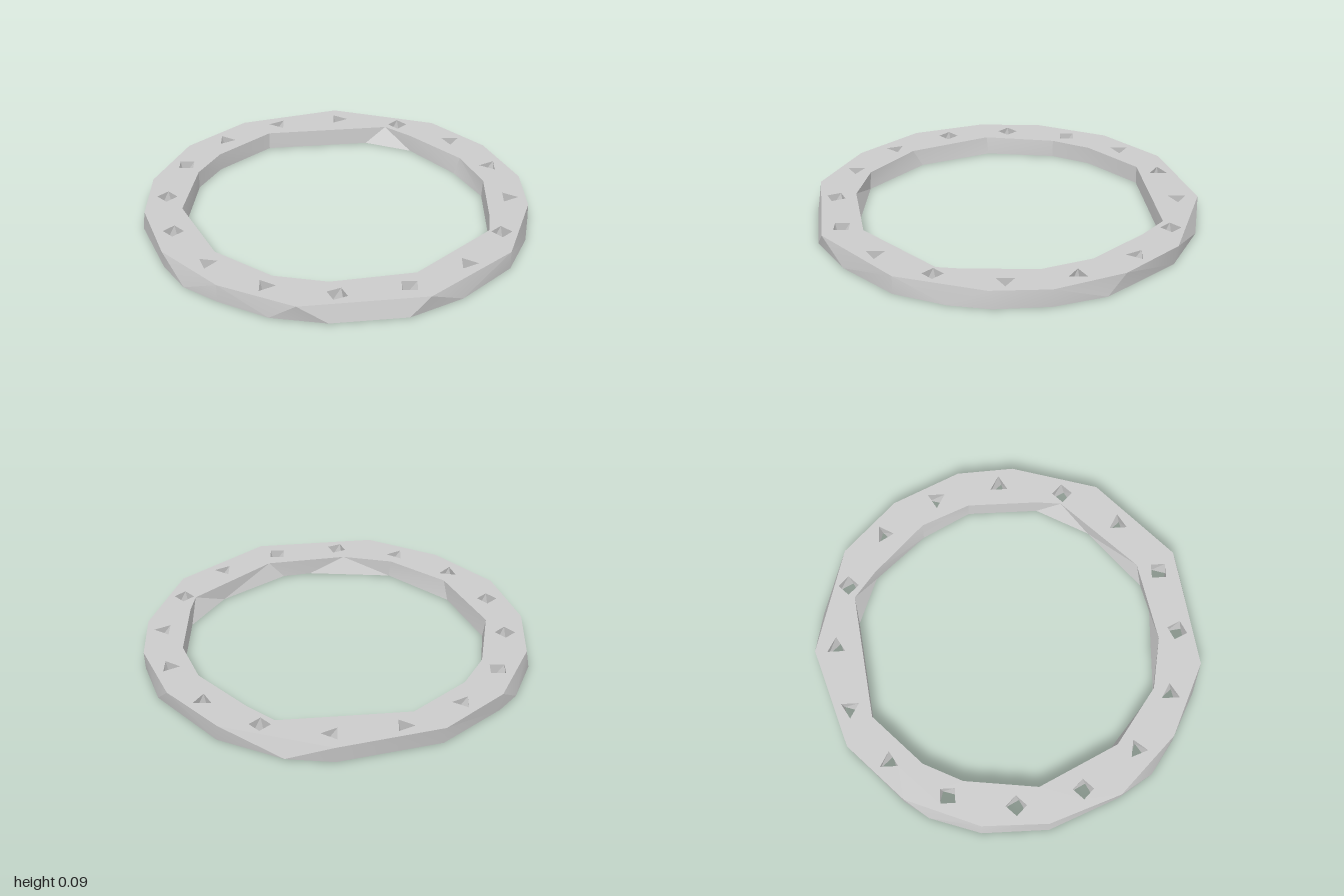
import * as THREE from 'three';
import { toCreasedNormals } from 'three/addons/utils/BufferGeometryUtils.js';

const HEIGHT = 0.095;

// Outlines as [x, z], going round by increasing angle from the left side
const outerTop = [[-0.985, -0.18], [-0.83, -0.56], [-0.54, -0.84], [-0.02, -1], [0.54, -0.84], [0.81, -0.57],
  [0.97, -0.22], [0.985, 0.08], [0.85, 0.53], [0.44, 0.91], [-0.19, 0.995], [-0.57, 0.82], [-0.86, 0.53], [-0.99, 0.16]];
const outerBottom = [[-1, -0.18], [-0.91, -0.44], [-0.82, -0.56], [-0.53, -0.83], [-0.02, -0.985], [0.22, -0.965],
  [0.55, -0.82], [0.87, -0.48], [0.965, -0.22], [0.99, 0.06], [0.955, 0.27], [0.85, 0.53], [0.6, 0.79], [0.34, 0.945],
  [-0.04, 0.995], [-0.32, 0.95], [-0.57, 0.82], [-0.74, 0.7], [-0.855, 0.52], [-1, 0.16]];
const innerTop = [[-0.75, -0.26], [-0.65, -0.46], [-0.39, -0.71], [0.27, -0.79], [0.41, -0.68], [0.67, -0.42],
  [0.775, -0.17], [0.775, 0.2], [0.76, 0.33], [0.62, 0.47], [0.38, 0.71], [-0.04, 0.79], [-0.31, 0.74], [-0.6, 0.53], [-0.8, 0.12]];
const innerBottom = [[-0.75, -0.26], [-0.65, -0.46], [-0.39, -0.71], [0.16, -0.775], [0.41, -0.68], [0.64, -0.42],
  [0.77, -0.17], [0.77, 0.2], [0.62, 0.47], [0.3, 0.73], [0.15, 0.765], [-0.3, 0.745], [-0.62, 0.48], [-0.785, 0.11]];

// Sixteen small holes: [sides, turn in degrees]
const holeSpecs = [[3, 0], [4, 0], [3, 0], [4, 45], [4, 20], [3, 0], [3, 100], [4, 0],
  [4, 0], [4, 45], [3, 0], [3, 180], [3, 0], [4, 0], [3, 90], [3, -60]];

function holeOutline(index, twist) {
  const [sides, turn] = holeSpecs[index];
  const a = index * Math.PI / 8;
  return Array.from({ length: sides }, (_, i) => {
    const b = (turn + twist) * Math.PI / 180 + i * 2 * Math.PI / sides;
    return [0.89 * Math.cos(a) + 0.053 * Math.cos(b), 0.89 * Math.sin(a) + 0.053 * Math.sin(b)];
  });
}

// Flat face of the ring; side is 1 for the top and -1 for the bottom
function capGeometry(outer, inner, holes, side) {
  const points = (loop) => loop.map(([x, z]) => new THREE.Vector2(x, -side * z));
  const shape = new THREE.Shape(points(outer));
  shape.holes = [inner, ...holes].map((loop) => new THREE.Path(points(loop)));
  return new THREE.ShapeGeometry(shape).rotateX(-side * Math.PI / 2).translate(0, side > 0 ? HEIGHT : 0, 0);
}

// Wall between two loops, which may differ in point count; takes the shorter diagonal
function wallGeometry(top, bottom, inward, crease) {
  const positions = [];
  const t = (i) => top[i % top.length];
  const b = (i) => bottom[i % bottom.length];
  const dist = (p, q) => Math.hypot(p[0] - q[0], p[1] - q[1]);
  const up = ([x, z]) => [x, HEIGHT, z];
  const low = ([x, z]) => [x, 0, z];
  let i = 0, j = 0;
  while (i < top.length || j < bottom.length) {
    const stepTop = j === bottom.length || (i < top.length && dist(t(i + 1), b(j)) < dist(t(i), b(j + 1)));
    const tri = stepTop ? [up(t(i)), up(t(i + 1)), low(b(j))] : [up(t(i)), low(b(j + 1)), low(b(j))];
    if (stepTop) i++; else j++;
    if (inward) tri.reverse();
    positions.push(...tri.flat());
  }
  const geometry = new THREE.BufferGeometry();
  geometry.setAttribute('position', new THREE.Float32BufferAttribute(positions, 3));
  return toCreasedNormals(geometry, crease);
}

export function createModel() {
  const group = new THREE.Group();
  group.name = 'perforatedRing';
  const grey = new THREE.MeshStandardMaterial({ color: 0xcccccc });
  grey.name = 'light grey';
  const add = (name, geometry) => {
    const mesh = new THREE.Mesh(geometry, grey);
    mesh.name = name;
    group.add(mesh);
  };

  const topHoles = holeSpecs.map((_, i) => holeOutline(i, 0));
  const bottomHoles = holeSpecs.map((_, i) => holeOutline(i, 18));

  // Ring body
  add('topFace', capGeometry(outerTop, innerTop, topHoles, 1));
  add('bottomFace', capGeometry(outerBottom, innerBottom, bottomHoles, -1));
  add('outerWall', wallGeometry(outerTop, outerBottom, false, 0.45));
  add('innerWall', wallGeometry(innerTop, innerBottom, true, 0.35));

  // Hole linings
  topHoles.forEach((loop, i) => add(`holeWall${i + 1}`, wallGeometry(loop, bottomHoles[i], true, 0.1)));
  return group;
}
